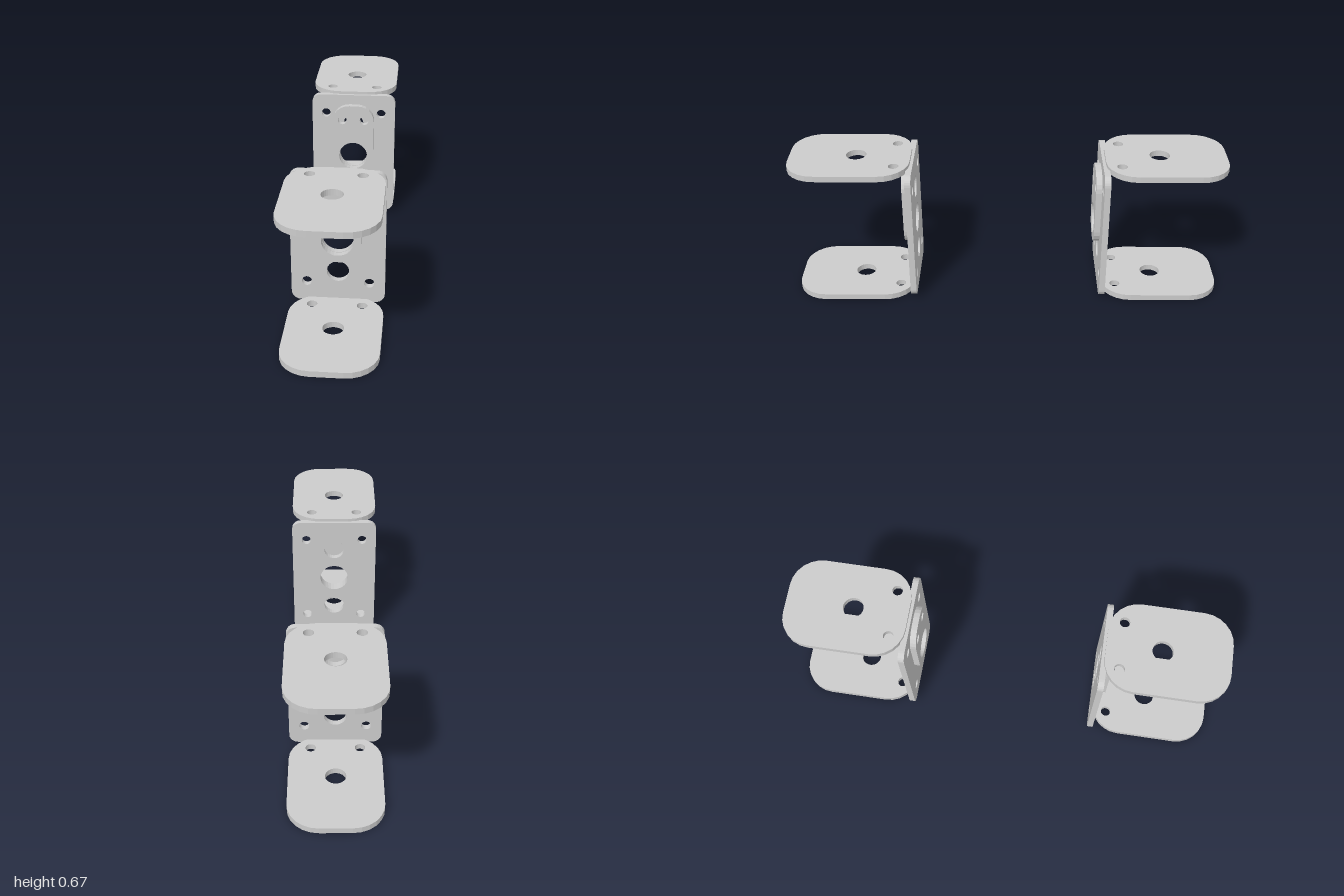
import * as THREE from 'three';

const U = 1 / 36; // sheet thickness, the module of the whole design
const material = new THREE.MeshStandardMaterial({ color: 0xcccccc, flatShading: true });

// Points along an arc
function arc(cx, cy, r, start, sweep, steps) {
  return Array.from({ length: steps + 1 }, (_, i) => {
    const a = start + (sweep * i) / steps;
    return new THREE.Vector2(cx + r * Math.cos(a), cy + r * Math.sin(a));
  });
}

// Rounded sheet in XY, from z = 0 to z = U, with round holes [x, y, radius]
function sheet(name, x0, y0, x1, y1, r, holes) {
  const q = Math.PI / 2;
  const shape = new THREE.Shape([
    ...arc(x1 - r, y0 + r, r, -q, q, 6),
    ...arc(x1 - r, y1 - r, r, 0, q, 6),
    ...arc(x0 + r, y1 - r, r, q, q, 6),
    ...arc(x0 + r, y0 + r, r, 2 * q, q, 6),
  ]);
  for (const [x, y, hr] of holes) {
    shape.holes.push(new THREE.Path(arc(x, y, hr, 0, -2 * Math.PI, 28).slice(0, -1)));
  }
  const geometry = new THREE.ExtrudeGeometry(shape, { depth: U, bevelEnabled: false });
  const mesh = new THREE.Mesh(geometry, material);
  mesh.name = name;
  return mesh;
}

// Upright plate with four corner holes and three in a column
function mountingPlate(z) {
  const mesh = sheet('mountingPlate', -7.5 * U, 0.5 * U, 7.5 * U, 23.5 * U, 1.5 * U, [
    [-5 * U, 4 * U, 0.0225], [5 * U, 4 * U, 0.0225],
    [-5 * U, 20 * U, 0.0225], [5 * U, 20 * U, 0.0225],
    [0, 6 * U, 0.05], [0, 12 * U, 0.07], [0, 18 * U, 0.05],
  ]);
  mesh.position.z = z;
  return mesh;
}

// Raised pad on the front of the upright plate
function raisedPad(z) {
  const mesh = sheet('raisedPad', -3.75 * U, 8.25 * U, 3.75 * U, 21.75 * U, 3 * U, [
    [-2 * U, 19 * U, 0.0225], [2 * U, 19 * U, 0.0225], [0, 12 * U, 0.0715],
  ]);
  mesh.position.z = z;
  return mesh;
}

// Horizontal flange reaching outwards from the upright plate; side is +1 or -1
function flange(name, side, y) {
  const near = 16 * U;
  const holes = [[0, 25 * U, 0.0465], [-4 * U, 18.5 * U, 0.0235], [4 * U, 18.5 * U, 0.0235]];
  const mesh = sheet(name, -7.5 * U, near, 7.5 * U, 1, 5 * U, holes);
  mesh.rotation.x = side * Math.PI / 2;
  mesh.position.y = side > 0 ? y + U : y;
  return mesh;
}

function bracket(name, side) {
  const group = new THREE.Group();
  group.name = name;
  const z = side * 16 * U - U / 2;
  group.add(
    mountingPlate(z),
    raisedPad(z + U),
    flange('lowerFlange', side, 0),
    flange('upperFlange', side, 23 * U),
  );
  return group;
}

export function createModel() {
  const model = new THREE.Group();
  model.name = 'bracketPair';
  model.add(bracket('frontBracket', 1), bracket('backBracket', -1));
  return model;
}
